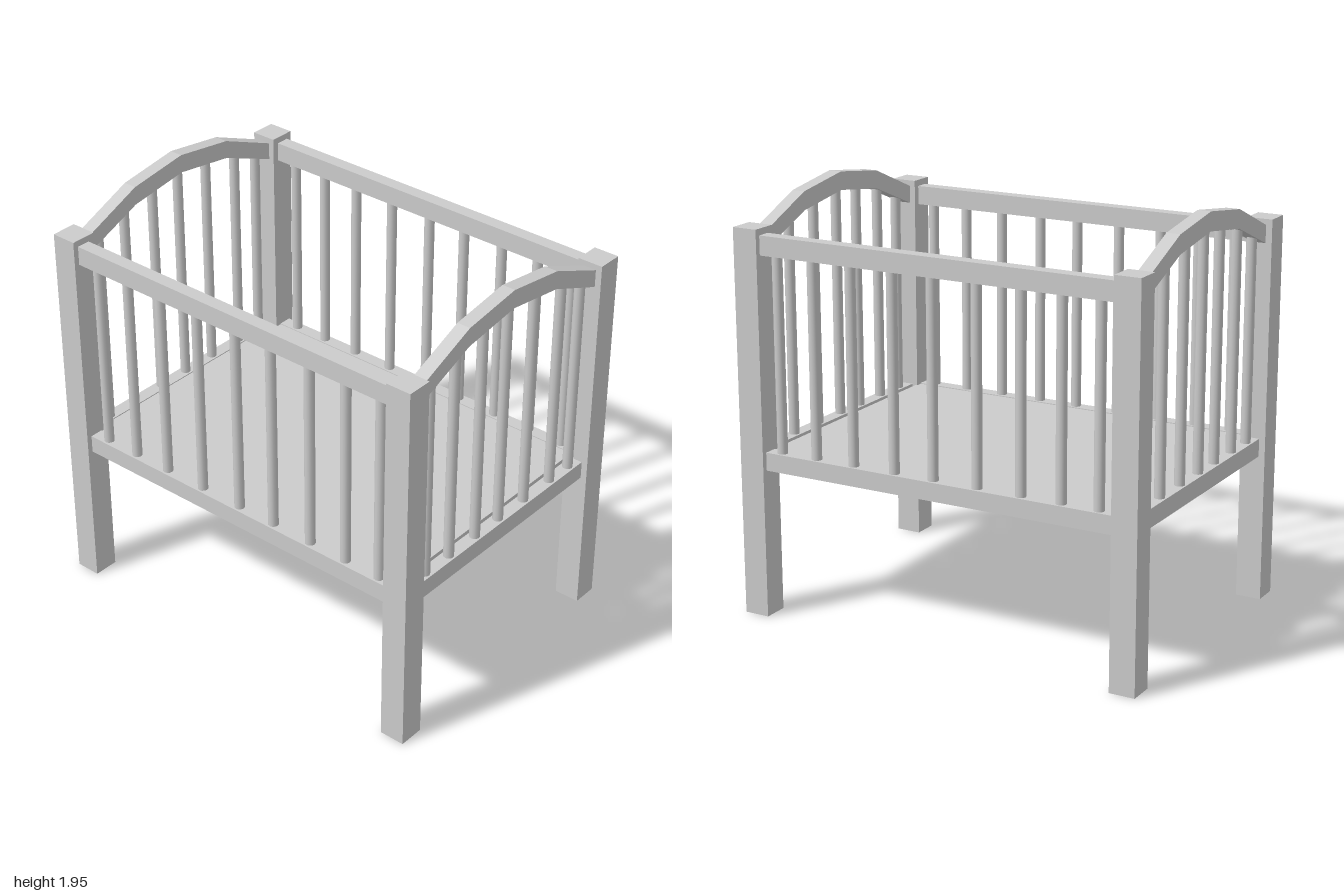
import * as THREE from 'three';

const material = new THREE.MeshStandardMaterial({ color: 0xcccccc });

const POST_X = 0.657, POST_Z = 0.939, POST_W = 0.122, POST_H = 1.81;
const SIDE_X = 0.66, END_Z = 0.938, RAIL_T = 0.064;
const INNER_X = POST_X - POST_W / 2, INNER_Z = POST_Z - POST_W / 2;
const RAIL_BOTTOM = 0.697, RAIL_TOP = 0.782;

// Arch outlines as [x, y] points
const ARCH_TOP = [[-INNER_X, 1.783], [-0.3, 1.907], [0, 1.95], [0.3, 1.907], [INNER_X, 1.783]];
const ARCH_UNDER = [[-INNER_X, 1.7], [-0.3, 1.82], [0, 1.863], [0.3, 1.82], [INNER_X, 1.7]];

const END_BARS = [-0.513, -0.348, -0.165, 0.002, 0.188, 0.384, 0.528];
const SIDE_BARS = [0.809, 0.624, 0.427, 0.215, 0.016, -0.204, -0.419, -0.613, -0.793];

function add(parent, name, geometry, x = 0, y = 0, z = 0) {
  const mesh = new THREE.Mesh(geometry, material);
  mesh.name = name;
  mesh.position.set(x, y, z);
  parent.add(mesh);
}

// Box spanning y0..y1
function box(parent, name, w, d, y0, y1, x, z) {
  add(parent, name, new THREE.BoxGeometry(w, y1 - y0, d), x, (y0 + y1) / 2, z);
}

// Round bar spanning y0..y1
function bar(parent, name, y0, y1, x, z) {
  add(parent, name, new THREE.CylinderGeometry(0.024, 0.024, y1 - y0, 12), x, (y0 + y1) / 2, z);
}

// Height of the arch underside at x
function archUnder(x) {
  const i = ARCH_UNDER.findIndex((p, k) => k > 0 && x <= p[0]);
  const [a, b] = [ARCH_UNDER[i - 1], ARCH_UNDER[i]];
  return THREE.MathUtils.mapLinear(x, a[0], b[0], a[1], b[1]);
}

function archGeometry() {
  const outline = [...ARCH_UNDER, ...[...ARCH_TOP].reverse()];
  const shape = new THREE.Shape(outline.map(([x, y]) => new THREE.Vector2(x, y)));
  return new THREE.ExtrudeGeometry(shape, { depth: RAIL_T, bevelEnabled: false })
    .translate(0, 0, -RAIL_T / 2);
}

export function createModel() {
  const crib = new THREE.Group();
  crib.name = 'crib';

  // Corner posts
  for (const sx of [-1, 1]) for (const sz of [-1, 1]) {
    box(crib, 'cornerPost', POST_W, POST_W, 0, POST_H, sx * POST_X, sz * POST_Z);
  }

  // Arched head and foot ends
  for (const s of [-1, 1]) {
    const end = new THREE.Group();
    end.name = s > 0 ? 'frontEnd' : 'backEnd';
    const z = s * END_Z;
    add(end, 'archedRail', archGeometry(), 0, 0, z);
    box(end, 'lowerEndRail', INNER_X * 2, RAIL_T, RAIL_BOTTOM, RAIL_TOP, 0, z);
    for (const x of END_BARS) bar(end, 'endBar', RAIL_TOP - 0.02, archUnder(x) + 0.02, x, z);
    crib.add(end);
  }

  // Straight sides
  for (const s of [-1, 1]) {
    const side = new THREE.Group();
    side.name = s > 0 ? 'leftSide' : 'rightSide';
    const x = s * SIDE_X;
    box(side, 'upperSideRail', RAIL_T, INNER_Z * 2, 1.69, 1.78, x, 0);
    box(side, 'lowerSideRail', RAIL_T, INNER_Z * 2, RAIL_BOTTOM, RAIL_TOP, x, 0);
    for (const z of SIDE_BARS) bar(side, 'sideBar', RAIL_TOP - 0.02, 1.7, x, z);
    crib.add(side);
  }

  // Base board, set a little above the underside of the rails
  box(crib, 'baseBoard', 1.256, 1.793, 0.74, 0.778, 0, -0.009);

  return crib;
}
